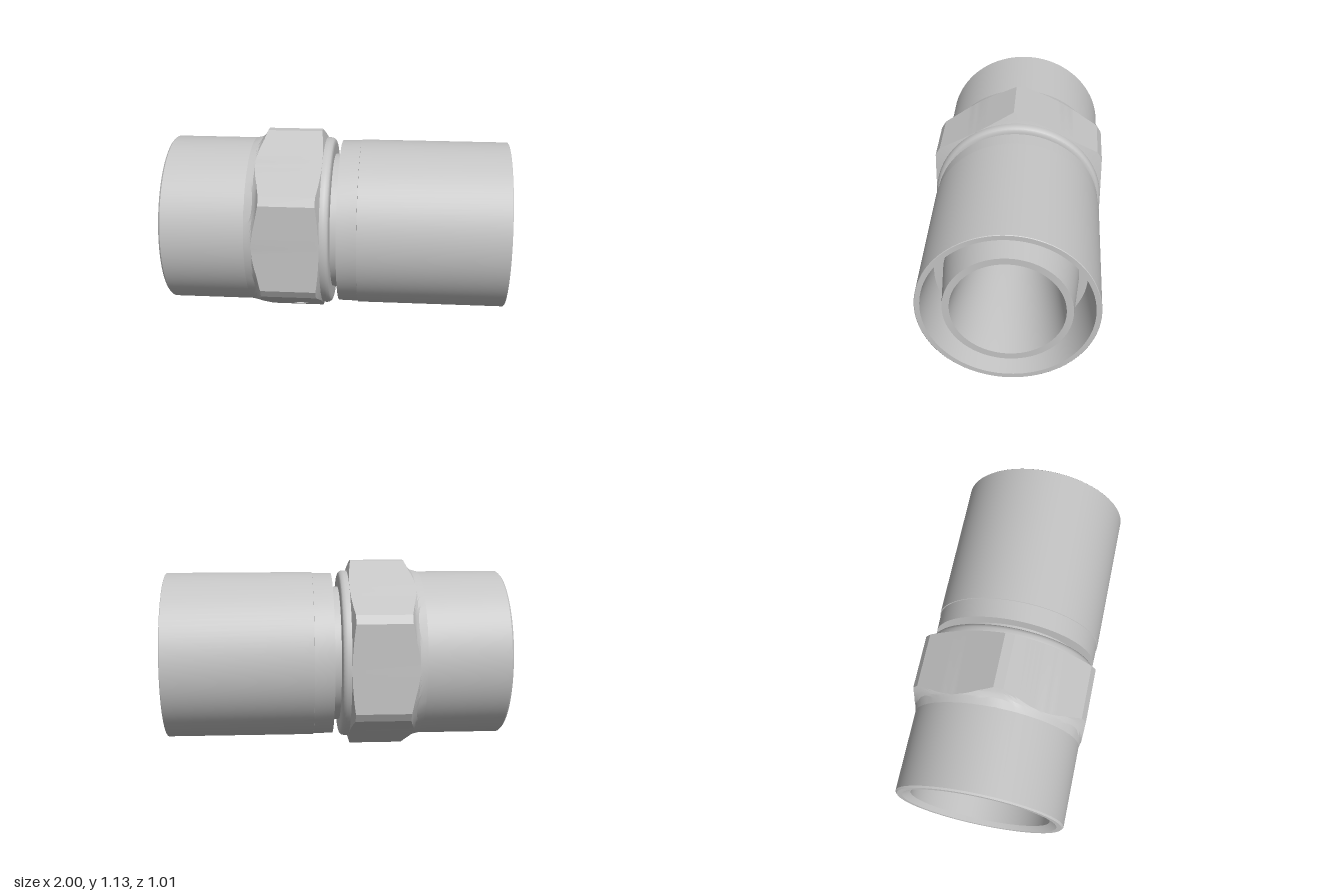
import * as THREE from 'three';
import { toCreasedNormals } from 'three/addons/utils/BufferGeometryUtils.js';

const AXIS_Y = 0.567, APOTHEM = 0.505, CORNER = 27.2;
const rad = THREE.MathUtils.degToRad;

// Ring turned around the x axis; points are [x, radius]
function turned(points) {
  const g = new THREE.LatheGeometry(points.map(([x, r]) => new THREE.Vector2(r, x)), 96);
  g.rotateZ(-Math.PI / 2);
  return toCreasedNormals(g, 0.45);
}

// Piecewise-linear x for a radius on a chamfer curve of [radius, x] points
function along(curve, r) {
  for (let i = 1; i < curve.length; i++) {
    const [r0, x0] = curve[i - 1], [r1, x1] = curve[i];
    if (r <= r1 || i === curve.length - 1) return x0 + (x1 - x0) * (r - r0) / (r1 - r0);
  }
}
const leftX = r => along([[0.495, -0.51], [0.505, -0.465], [0.53, -0.44], [0.568, -0.42]], r);
const rightX = r => along([[0.5, -0.078], [0.505, -0.08], [0.568, -0.1]], r);

// Angles across one flat, measured from its middle
const steps = 16;
const flat = Array.from({ length: steps + 1 }, (_, i) => rad(CORNER * (2 * i / steps - 1)));
const HOLE_FACE = 5;

// Hexagon with cut corners and turned chamfers at both ends
function hexGeometry() {
  const pos = [], index = [], n = 6, rows = 2 * n, cols = 6 * flat.length;
  for (let k = 0; k < 6; k++) for (const f of flat) {
    const a = f + k * Math.PI / 3, h = APOTHEM / Math.cos(f);
    for (let i = 0; i < rows; i++) {
      const left = i < n, t = left ? i / (n - 1) : (rows - 1 - i) / (n - 1);
      const r = THREE.MathUtils.lerp(left ? 0.495 : 0.5, h, t);
      pos.push(left ? leftX(r) : rightX(r), r * Math.sin(a), r * Math.cos(a));
    }
  }
  for (let j = 0; j < cols; j++) for (let i = 0; i < rows - 1; i++) {
    const face = Math.floor(j / flat.length), inFlat = j % flat.length < steps;
    if (i === n - 1 && inFlat && face === HOLE_FACE) continue; // the drilled flat is separate
    const a = j * rows + i, b = ((j + 1) % cols) * rows + i;
    index.push(a, a + 1, b + 1, a, b + 1, b);
  }
  const g = new THREE.BufferGeometry();
  g.setAttribute('position', new THREE.Float32BufferAttribute(pos, 3));
  g.setIndex(index);
  return toCreasedNormals(g, 0.3);
}

export function createModel() {
  const model = new THREE.Group();
  const steel = new THREE.MeshStandardMaterial({ color: 0xc4c4c4 });
  steel.name = 'steel';
  const inside = new THREE.MeshStandardMaterial({ color: 0xc4c4c4, side: THREE.DoubleSide });
  inside.name = 'steel';
  const fitting = new THREE.Group();
  fitting.name = 'fitting';
  fitting.position.y = AXIS_Y;
  model.add(fitting);
  const add = (name, geometry, parent = fitting, material = steel) => {
    const m = new THREE.Mesh(geometry, material);
    m.name = name;
    parent.add(m);
    return m;
  };

  // Plain socket at the right end, with its bore and chamfered mouth
  add('socket', turned([
    [-0.4, 0.24], [-0.4, 0.41], [-0.975, 0.41], [-1, 0.455], [-1, 0.485],
    [-0.99, 0.495], [-0.5, 0.495], [-0.5, 0.44], [-0.32, 0.44], [-0.32, 0.36], [-0.1, 0.36],
  ]));

  // Rounded shoulder beside the hexagon and the narrow neck
  add('shoulder', turned([
    [-0.1, 0.36], [-0.1, 0.5], [-0.08, 0.504], [-0.055, 0.504], [-0.042, 0.5], [-0.033, 0.492],
    [-0.028, 0.48], [-0.027, 0.465], [-0.027, 0.405], [0.015, 0.405],
  ]));

  // Long sleeve with a tapered annular recess
  add('sleeve', turned([
    [0.015, 0.405], [0.015, 0.488], [0.13, 0.49], [0.131, 0.495], [0.997, 0.495], [1, 0.492],
    [1, 0.465], [0.7, 0.425], [0.7, 0.375],
  ]));

  // Inner tube with a flared bore
  add('innerTube', turned([
    [0.7, 0.375], [1, 0.348], [1, 0.31], [0.45, 0.24], [-0.4, 0.24],
  ]));

  // Hexagonal grip
  add('hexGrip', hexGeometry());

  // Flat of the hexagon with a drilled hole
  const drilled = new THREE.Group();
  drilled.name = 'drilledFlat';
  drilled.rotation.x = -HOLE_FACE * Math.PI / 3;
  fitting.add(drilled);
  const edge = xAt => flat.map(f => new THREE.Vector2(xAt(APOTHEM / Math.cos(f)), APOTHEM * Math.tan(f)));
  const shape = new THREE.Shape([...edge(rightX), ...edge(leftX).reverse()]);
  const hole = new THREE.Path();
  hole.absarc(-0.23, -0.16, 0.045, 0, Math.PI * 2, true);
  shape.holes.push(hole);
  add('holeFace', new THREE.ShapeGeometry(shape, 24), drilled).position.z = APOTHEM;
  const wall = new THREE.CylinderGeometry(0.045, 0.045, 0.1, 48, 1, true).rotateX(Math.PI / 2);
  add('holeWall', wall, drilled, inside).position.set(-0.23, -0.16, APOTHEM - 0.05);
  add('holeFloor', new THREE.CircleGeometry(0.045, 48), drilled).position.set(-0.23, -0.16, APOTHEM - 0.1);

  return model;
}
